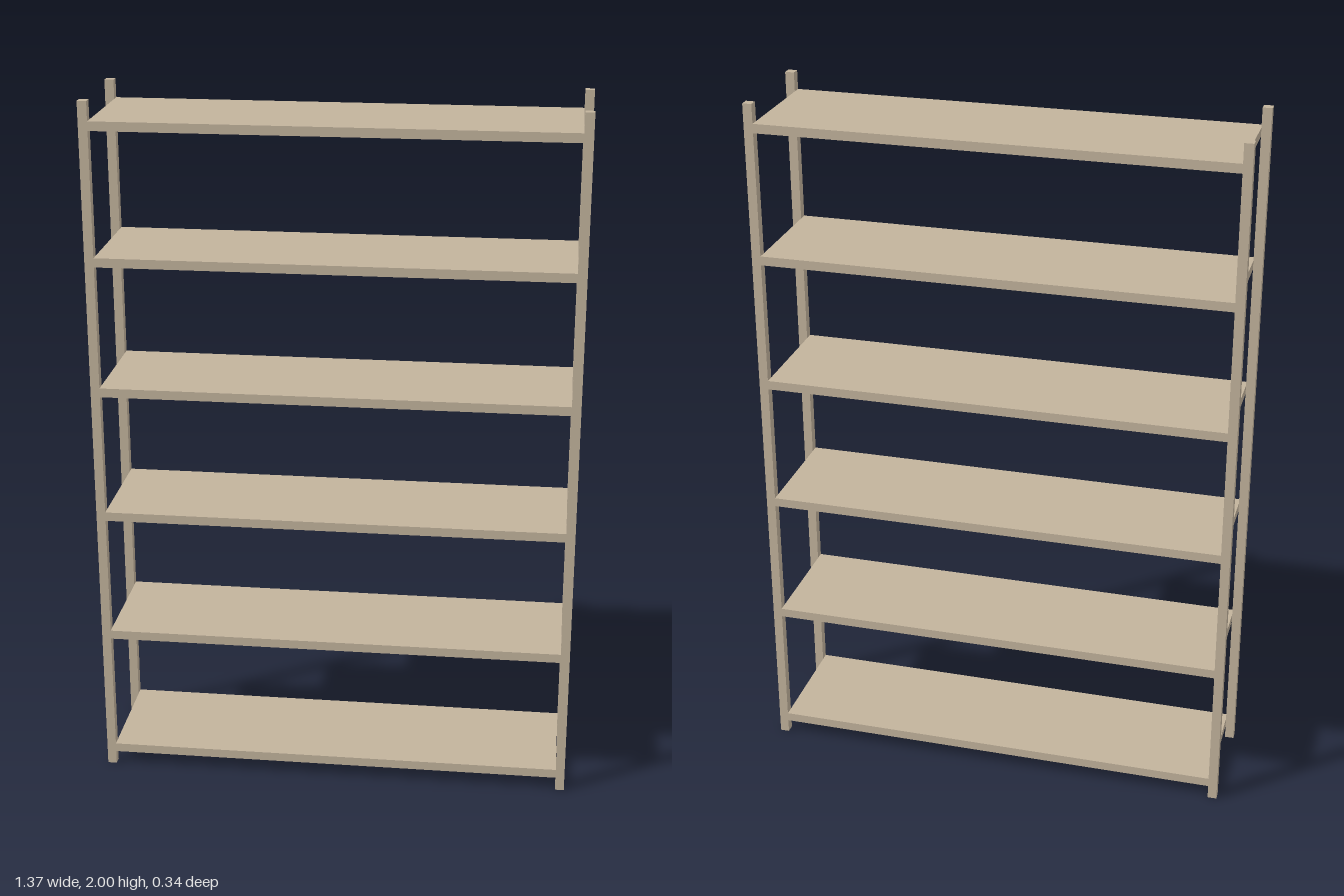
import * as THREE from 'three';

export function createModel() {
  const group = new THREE.Group();
  const wood = new THREE.MeshStandardMaterial({ color: 0xc2b39c });
  wood.name = 'beige wood';

  const width = 1.366, depth = 0.345, post = 0.026, thickness = 0.026;

  const addBox = (name, w, h, d, x, y, z) => {
    const mesh = new THREE.Mesh(new THREE.BoxGeometry(w, h, d), wood);
    mesh.name = name;
    mesh.position.set(x, y, z);
    group.add(mesh);
  };

  // Four corner posts
  for (const [side, sx] of [['left', 1], ['right', -1]]) {
    for (const [end, sz] of [['Front', 1], ['Back', -1]]) {
      addBox(`${side}${end}Post`, post, 2, post,
        sx * (width - post) / 2, 1, sz * (depth - post) / 2);
    }
  }

  // Six evenly spaced shelves held between the posts
  const shelves = 6, lowest = 0.053, spacing = 0.376;
  for (let i = 0; i < shelves; i++) {
    addBox(`shelf${i + 1}`, width - 2 * post, thickness, depth, 0, lowest + i * spacing, 0);
  }

  return group;
}
